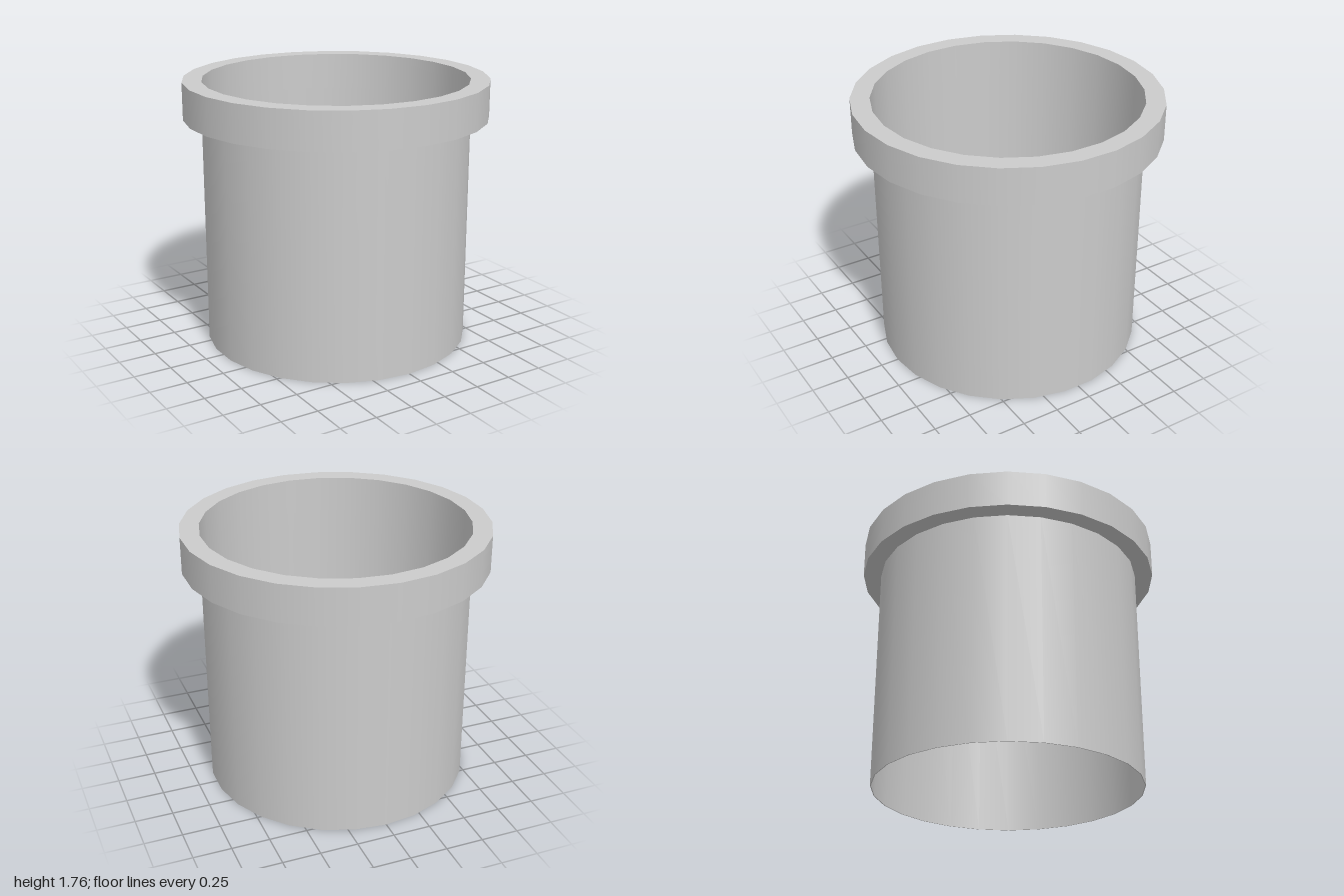
import * as THREE from 'three';
import { mergeGeometries } from 'three/addons/utils/BufferGeometryUtils.js';

const SIDES = 26;
const HEIGHT = 1.76;
const RIM_BASE = 1.515;
const RIM_RADIUS = 1;
const OUTER = 0.88;
const INNER = 0.874;

const material = new THREE.MeshStandardMaterial({ color: 0xcccccc, side: THREE.DoubleSide });

// Revolves each profile edge on its own: smooth around the axis, sharp at the corners
function revolve(name, profile) {
  const bands = [];
  for (let i = 0; i < profile.length - 1; i++) {
    const edge = [profile[i], profile[i + 1]].map(([r, y]) => new THREE.Vector2(r, y));
    bands.push(new THREE.LatheGeometry(edge, SIDES));
  }
  const mesh = new THREE.Mesh(mergeGeometries(bands), material);
  mesh.name = name;
  return mesh;
}

export function createModel() {
  const group = new THREE.Group();
  group.name = 'flangedSleeve';

  // Thin-walled tube, open at both ends
  group.add(revolve('tube', [
    [INNER, RIM_BASE], [INNER, 0], [OUTER, 0], [OUTER, RIM_BASE],
  ]));

  // Thick collar around the top
  group.add(revolve('collar', [
    [OUTER, RIM_BASE], [RIM_RADIUS, RIM_BASE], [RIM_RADIUS, HEIGHT],
    [INNER, HEIGHT], [INNER, RIM_BASE],
  ]));

  return group;
}
